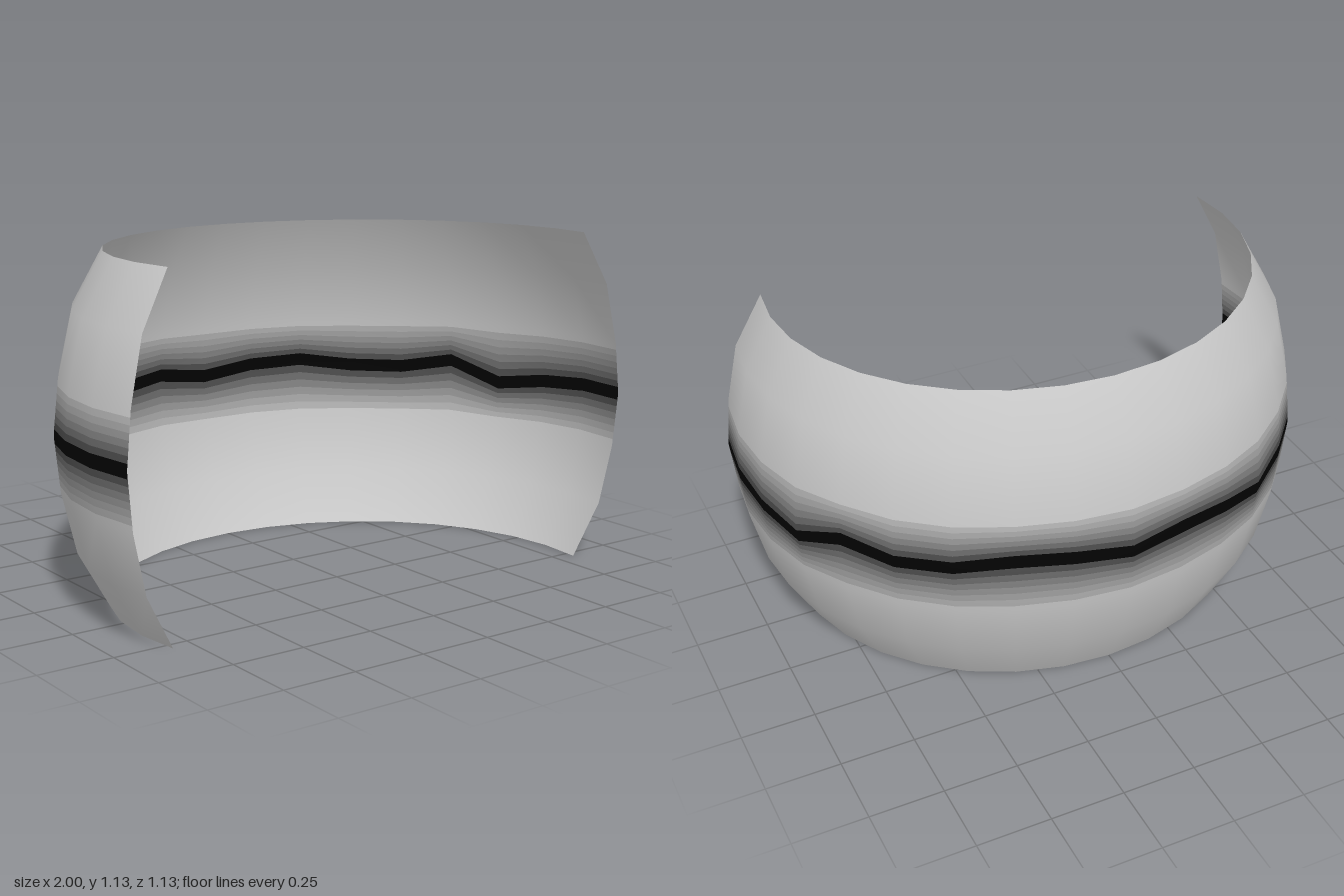
import * as THREE from 'three';

// Open barrel-shaped band: elliptical arc in plan, bulging profile in height
const STEPS = 9, STEP_ANGLE = Math.PI / 16;
const DEPTH = 0.945, CENTRE_Z = 0.38, HEIGHT = 1.13;
const PROFILE = [[0, 0.835], [0.18, 0.935], [0.38, 0.982], [0.565, 1], [0.74, 0.982], [0.95, 0.935], [HEIGHT, 0.835]];
// Height of the jagged dark seam at each column, from -x end to +x end
const SEAM = [0.565, 0.565, 0.565, 0.56, 0.56, 0.56, 0.525, 0.57, 0.59, 0.56,
  0.59, 0.6, 0.57, 0.565, 0.6, 0.52, 0.55, 0.565, 0.565];
const SHADES = 8;

// Radius scale of the band at height y
function radius(y) {
  let k = 0;
  while (k < PROFILE.length - 2 && y > PROFILE[k + 1][0]) k++;
  const [y0, r0] = PROFILE[k], [y1, r1] = PROFILE[k + 1];
  return r0 + (r1 - r0) * (y - y0) / (y1 - y0);
}

// Smooth-shaded surface through rows of heights; each row maps column -> y
function bandGeometry(rows) {
  const positions = [], normals = [], index = [];
  const columns = 2 * STEPS + 1;
  rows.forEach((row, j) => {
    for (let c = 0; c < columns; c++) {
      const a = (c - STEPS) * STEP_ANGLE, y = row(c), r = radius(y);
      const lo = Math.max(0, y - 0.1), hi = Math.min(HEIGHT, y + 0.1);
      const slope = (radius(hi) - radius(lo)) / (hi - lo);
      const n = new THREE.Vector3(Math.sin(a), -slope, -Math.cos(a) / DEPTH).normalize();
      positions.push(r * Math.sin(a), y, CENTRE_Z - DEPTH * r * Math.cos(a));
      normals.push(n.x, n.y, n.z);
      if (j > 0 && c > 0) {
        const q = j * columns + c, p = q - columns;
        index.push(p - 1, q - 1, p, p, q - 1, q);
      }
    }
  });
  const geometry = new THREE.BufferGeometry();
  geometry.setAttribute('position', new THREE.Float32BufferAttribute(positions, 3));
  geometry.setAttribute('normal', new THREE.Float32BufferAttribute(normals, 3));
  geometry.setIndex(index);
  return geometry;
}

export function createModel() {
  const group = new THREE.Group();
  group.name = 'curvedBand';
  const add = (name, rows, color) => {
    const material = new THREE.MeshStandardMaterial({ color, side: THREE.DoubleSide });
    const mesh = new THREE.Mesh(bandGeometry(rows), material);
    mesh.name = name;
    group.add(mesh);
  };
  const level = (y) => () => y;

  // Plain lower and upper parts of the band
  add('lowerBand', [0, 0.18, 0.38].map(level), 0xcccccc);
  add('upperBand', [0.74, 0.95, HEIGHT].map(level), 0xcccccc);

  // Dark seam fading in narrow strips towards the plain parts
  const dark = new THREE.Color(0x030303), grey = new THREE.Color(0xcccccc);
  for (const [name, edge] of [['lowerSeam', 0.38], ['upperSeam', 0.74]]) {
    const row = (t) => (c) => THREE.MathUtils.lerp(SEAM[c], edge, t);
    for (let k = 0; k < SHADES; k++) {
      const rows = [row(k / SHADES), row((k + 1) / SHADES)];
      if (edge < 0.565) rows.reverse();
      add(name + (k + 1), rows, dark.clone().lerp(grey, k / SHADES));
    }
  }
  return group;
}
